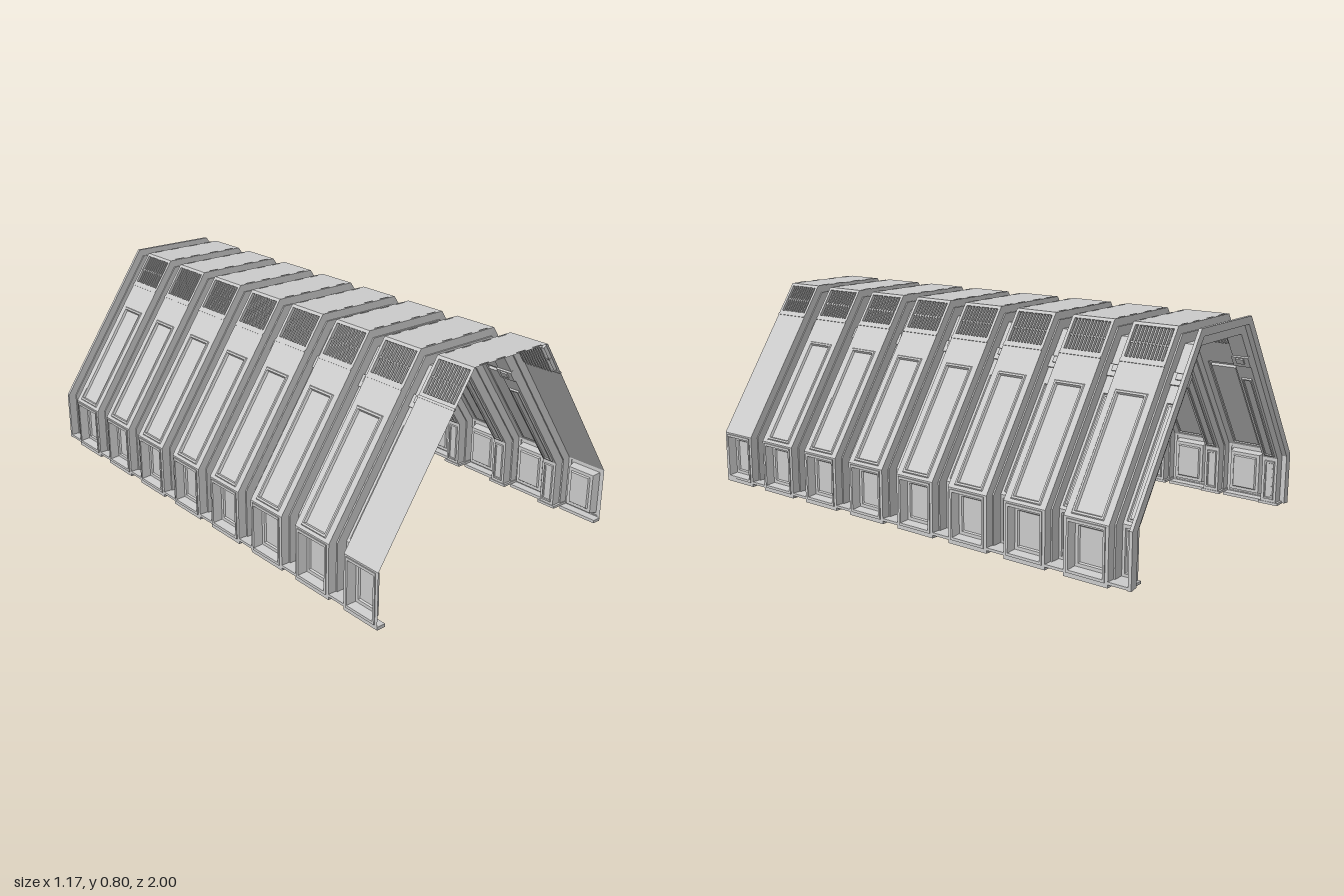
import * as THREE from 'three';
import { mergeGeometries } from 'three/addons/utils/BufferGeometryUtils.js';

const material = new THREE.MeshStandardMaterial({ color: 0xcccccc, flatShading: true, side: THREE.DoubleSide });

// Half cross-section, base to centre line; s = 0 is the outer skin, s = 1 the inner face of the ribs
const OUTER = [[0.58, 0.01], [0.58, 0.21], [0.18, 0.8], [0, 0.8]];
const INNER = [[0.508, 0.02], [0.508, 0.2], [0.145, 0.737], [0, 0.737]];
const section = s => OUTER.map((p, i) => p.map((v, k) => v + (INNER[i][k] - v) * s));
const mix = (a, b, t) => [a[0] + (b[0] - a[0]) * t, a[1] + (b[1] - a[1]) * t];

function quads(list) {
  const pos = [];
  for (const [a, b, c, d] of list) pos.push(...a, ...b, ...c, ...a, ...c, ...d);
  const g = new THREE.BufferGeometry();
  g.setAttribute('position', new THREE.Float32BufferAttribute(pos, 3));
  g.computeVertexNormals();
  return g;
}

// Strip joining two cross-sections
function strip(z0, s0, z1, s1) {
  const A = section(s0), B = section(s1), list = [];
  for (let i = 0; i < 3; i++) {
    list.push([[...A[i], z0], [...A[i + 1], z0], [...B[i + 1], z1], [...B[i], z1]]);
  }
  return quads(list);
}

// Flat facet from a to b, stepped through nested rectangles [end margin, z margin, depth inwards]
function facet(a, b, z0, z1, steps = [], open = false) {
  const len = Math.hypot(b[0] - a[0], b[1] - a[1]);
  const d = [(b[0] - a[0]) / len, (b[1] - a[1]) / len], n = [-d[1], d[0]];
  const at = (v, depth, z) => [a[0] + d[0] * v + n[0] * depth, a[1] + d[1] * v + n[1] * depth, z];
  const rings = [[0, 0, 0], ...steps].map(([mv, mz, h]) => [
    at(mv, h, z0 + mz), at(len - mv, h, z0 + mz), at(len - mv, h, z1 - mz), at(mv, h, z1 - mz)]);
  const list = [];
  for (let r = 0; r + 1 < rings.length; r++) {
    for (let i = 0; i < 4; i++) {
      const j = (i + 1) % 4;
      list.push([rings[r][j], rings[r][i], rings[r + 1][i], rings[r + 1][j]]);
    }
  }
  if (!open) list.push([...rings[rings.length - 1]].reverse());
  return quads(list);
}

// Box lying along the line a to b
function bar(a, b, z, width, depth) {
  const g = new THREE.BoxGeometry(Math.hypot(b[0] - a[0], b[1] - a[1]), depth, width);
  g.rotateZ(Math.atan2(b[1] - a[1], b[0] - a[0]));
  g.translate((a[0] + b[0]) / 2, (a[1] + b[1]) / 2, z);
  return g.toNonIndexed();
}

function box(x0, x1, y0, y1, z0, z1) {
  return new THREE.BoxGeometry(x1 - x0, y1 - y0, z1 - z0)
    .translate((x0 + x1) / 2, (y0 + y1) / 2, (z0 + z1) / 2).toNonIndexed();
}

function mesh(name, geometries) {
  geometries.forEach(g => g.deleteAttribute('uv'));
  const m = new THREE.Mesh(mergeGeometries(geometries), material);
  m.name = name;
  return m;
}

// Wide outer bay: base niche, sloping wall panel, louvred shoulder and roof
function bay(z0, z1, plain) {
  const g = new THREE.Group();
  g.name = 'bay';
  const [p0, p1, p2, p3] = section(0), q = mix(p1, p2, 0.797), w = mix(p1, p2, 0.66);
  g.add(mesh('baseNiche', [
    facet(p0, p1, z0, z1, [[0.006, 0.012, 0], [0.006, 0.012, -0.004], [0.016, 0.02, -0.004],
      [0.022, 0.026, 0.03], [0.034, 0.038, 0.03], [0.038, 0.042, 0.036]]),
    box(0.545, 0.58, 0, 0.012, z0, z1)]));
  const inset = [[0.012, 0.024, 0], [0.015, 0.027, -0.004], [0.022, 0.034, -0.004], [0.026, 0.038, 0.005]];
  g.add(mesh('wallPanel', [
    facet(p1, w, z0, z1, plain ? [] : inset), facet(w, q, z0, z1),
    bar(mix(p1, p2, 0.785), q, (z0 + z1) / 2, z1 - z0, 0.006)]));
  const bars = [facet(q, p2, z0, z1, [[0.012, 0.012, 0], [0.012, 0.012, 0.014]], true)];
  const a = mix(q, p2, 0.06), b = mix(q, p2, 0.94), n = 11;
  const inward = p => [p[0] - 0.008, p[1] - 0.006];
  for (let i = 1; i < n; i++) {
    bars.push(bar(inward(a), inward(b), z0 + 0.012 + (z1 - z0 - 0.024) * i / n, 0.006, 0.014));
  }
  const mid = mix(inward(a), inward(b), 0.5);
  bars.push(bar(mix(mid, b, 0.06), mix(mid, a, 0.06), (z0 + z1) / 2, z1 - z0 - 0.02, 0.005));
  g.add(mesh('shoulderLouvre', bars));
  g.add(mesh('roofPanel', [facet(p2, p3, z0, z1),
    ...[0.06, 0.14].flatMap(x => [z0 + 0.006, z1 - 0.006].map(z => box(x - 0.03, x + 0.01, 0.799, 0.802, z - 0.002, z + 0.002)))]));
  return g;
}

// Narrow sunken rib between two bays
function rib(z) {
  const g = new THREE.Group();
  g.name = 'rib';
  const [p0, p1, p2, p3] = section(1), z0 = z - 0.031, z1 = z + 0.031;
  const w = mix(p1, p2, 0.68), c = mix(p1, p2, 0.76), e = mix(p1, p2, 0.83);
  const inset = [[0.012, 0.01, 0], [0.014, 0.012, 0.006], [0.02, 0.017, 0.006], [0.022, 0.019, 0.002]];
  g.add(mesh('ribColumn', [facet(p0, p1, z0, z1, inset), box(0.505, 0.58, 0.012, 0.022, z - 0.04, z + 0.04)]));
  g.add(mesh('ribSlope', [facet(p1, w, z0, z1, inset), facet(w, p2, z0, z1)]));
  g.add(mesh('ribClip', [bar(c, e, z, 0.066, 0.014), bar(mix(c, e, 0.4), mix(c, e, 0.9), z, 0.03, 0.026)]));
  g.add(mesh('ribRoof', [facet(p2, p3, z0, z1)]));
  // Stepped flanks rising from the rib to the outer skin
  const flanks = [];
  for (const k of [-1, 1]) {
    const lip = k < 0 && z < -0.9 ? 0.05 : 0.0375;
    flanks.push(strip(z + k * 0.031, 1, z + k * 0.031, 0.45),
      strip(z + k * 0.031, 0.45, z + k * 0.0365, 0.45),
      strip(z + k * 0.0365, 0.45, z + k * 0.0375, 0));
    if (lip > 0.04) flanks.push(strip(z - 0.0375, 0, z - lip, 0), strip(z - lip, 0, z - lip, 0.45),
      strip(z - lip, 0.45, z - 0.031, 0.45));
  }
  g.add(mesh('ribFlanks', flanks));
  return g;
}

export function createModel() {
  const model = new THREE.Group();
  model.name = 'archedCorridor';
  const half = new THREE.Group();
  half.name = 'leftHalf';
  for (let i = 0; i < 8; i++) {
    const z = 0.8 - i * 0.25;
    half.add(bay(z + 0.0375, Math.min(1, z + 0.2125), i === 0), rib(z));
  }
  const other = half.clone();
  other.name = 'rightHalf';
  other.scale.x = -1;
  model.add(half, other);
  return model;
}
